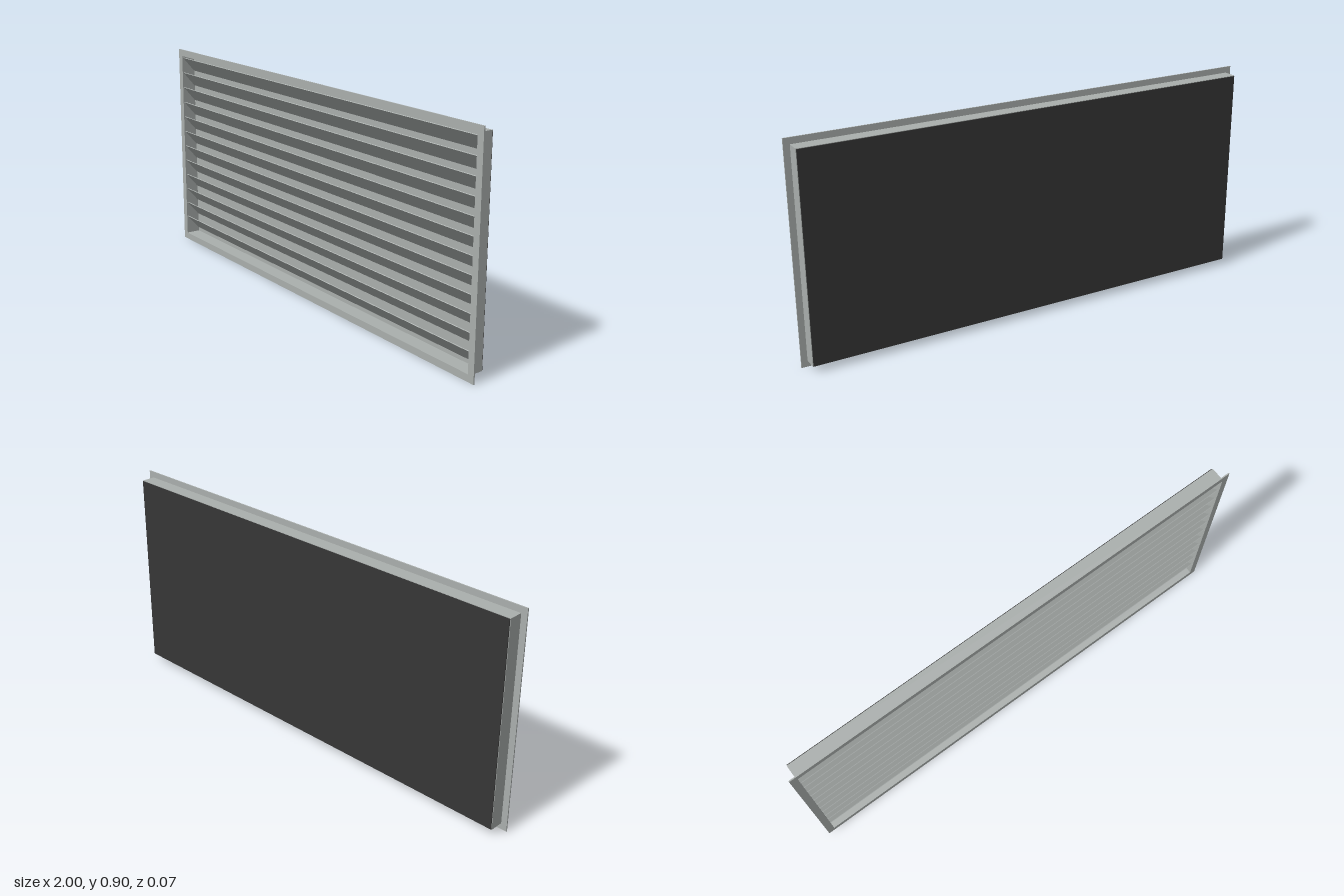
import * as THREE from 'three';

export function createModel() {
  const model = new THREE.Group();
  const metal = new THREE.MeshStandardMaterial({ color: 0xaaafad });
  metal.name = 'grey metal';
  const black = new THREE.MeshStandardMaterial({ color: 0x363636 });
  black.name = 'black backing';

  const midY = 0.4525;

  function add(name, geometry, material, x, y, z) {
    const mesh = new THREE.Mesh(geometry, material);
    mesh.name = name;
    mesh.position.set(x, y, z);
    model.add(mesh);
    return mesh;
  }

  // Rectangular ring, extruded from z = 0 to z = depth
  function ring(w, h, innerW, innerH, depth) {
    const rect = (Type, a, b) => new Type([
      new THREE.Vector2(-a / 2, -b / 2), new THREE.Vector2(a / 2, -b / 2),
      new THREE.Vector2(a / 2, b / 2), new THREE.Vector2(-a / 2, b / 2),
    ]);
    const shape = rect(THREE.Shape, w, h);
    shape.holes.push(rect(THREE.Path, innerW, innerH));
    return new THREE.ExtrudeGeometry(shape, { depth, bevelEnabled: false });
  }

  // Thin front flange and the shallow duct behind it
  add('frontFlange', ring(2, 0.905, 1.942, 0.847, 0.005), metal, 0, midY, 0.028);
  add('ductWalls', ring(1.95, 0.854, 1.942, 0.847, 0.058), metal, 0, midY, -0.03);

  // Closed back: grey inner sheet with a black panel behind
  add('innerSheet', new THREE.BoxGeometry(1.942, 0.847, 0.002), metal, 0, midY, -0.029);
  add('backPanel', new THREE.BoxGeometry(1.946, 0.85, 0.003), black, 0, midY, -0.0315);

  // Twelve blades rising towards the front
  const count = 12, pitch = 0.0688, rise = 0.063, depth = 0.054;
  const bladeGeometry = new THREE.BoxGeometry(1.942, Math.hypot(rise, depth), 0.003);
  for (let i = 0; i < count; i++) {
    const y = 0.458 + (i - (count - 1) / 2) * pitch;
    const blade = add('louvreBlade' + (i + 1), bladeGeometry, metal, 0, y, 0);
    blade.rotation.x = Math.atan2(depth, rise);
  }

  return model;
}
